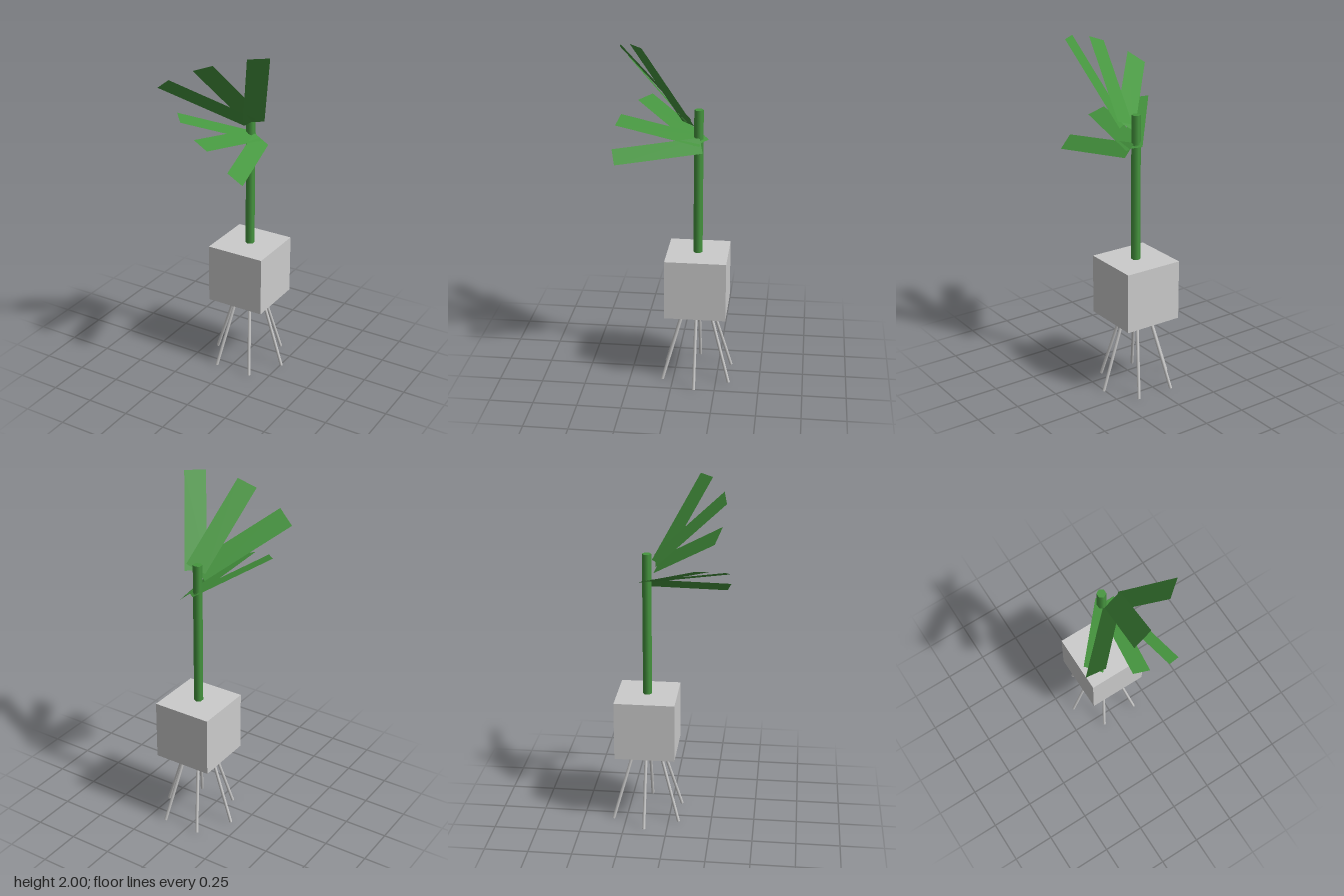
import * as THREE from 'three';

const CX = 0.036, CZ = -0.132; // shared vertical axis of stem, pot and legs

const grey = new THREE.MeshStandardMaterial({ color: 0xcccccc });
const green = new THREE.MeshStandardMaterial({ color: 0x46963f });
const leafGreen = new THREE.MeshStandardMaterial({ color: 0x46963f, side: THREE.DoubleSide });

function add(parent, name, geometry, material) {
  const mesh = new THREE.Mesh(geometry, material);
  mesh.name = name;
  parent.add(mesh);
  return mesh;
}

// Flat rectangular leaf: centre of its base edge, vector to the tip, vector across
function leafGeometry(base, along, across) {
  const geo = new THREE.PlaneGeometry(1, 1);
  const b = new THREE.Vector3(...base), a = new THREE.Vector3(...along), w = new THREE.Vector3(...across);
  const p = geo.attributes.position;
  for (let i = 0; i < p.count; i++) {
    const v = b.clone().addScaledVector(w, p.getX(i)).addScaledVector(a, p.getY(i) + 0.5);
    p.setXYZ(i, v.x, v.y, v.z);
  }
  geo.computeVertexNormals();
  return geo;
}

export function createModel() {
  const model = new THREE.Group();
  model.name = 'pottedPlant';

  // Cubic pot
  add(model, 'pot', new THREE.BoxGeometry(0.346, 0.346, 0.346), grey).position.set(CX, 0.598, CZ);

  // Six-sided stem
  add(model, 'stem', new THREE.CylinderGeometry(0.026, 0.026, 0.845, 6), green).position.set(CX, 1.1825, CZ);

  // Six splayed legs
  const legs = new THREE.Group();
  legs.name = 'legs';
  legs.position.set(CX, 0, CZ);
  model.add(legs);
  for (let i = 0; i < 6; i++) {
    const t = i * Math.PI / 3;
    const out = new THREE.Vector3(Math.cos(t), 0, Math.sin(t));
    const foot = out.clone().multiplyScalar(0.222).setY(0.003);
    const top = out.clone().multiplyScalar(0.08).setY(0.445);
    const axis = top.clone().sub(foot);
    const leg = add(legs, 'leg', new THREE.CylinderGeometry(0.009, 0.009, axis.length(), 6), grey);
    leg.position.copy(foot).add(top).multiplyScalar(0.5);
    leg.quaternion.setFromUnitVectors(new THREE.Vector3(0, 1, 0), axis.normalize());
  }

  // Upper fan of large leaves and lower fan of smaller ones: base, along, across
  const fans = {
    upperLeaf: [
      [[0.085, 1.54, -0.078], [0.174, 0.46, 0.256], [0.093, 0, -0.075]],
      [[0.077, 1.555, -0.09], [-0.077, 0.385, 0.39], [0.11, 0.04, -0.02]],
      [[0.066, 1.535, -0.075], [-0.326, 0.27, 0.358], [0.096, 0.07, 0.035]],
    ],
    lowerLeaf: [
      [[0.068, 1.427, -0.15], [-0.29, 0.168, 0.347], [0.07, -0.02, 0.075]],
      [[0.059, 1.435, -0.151], [-0.066, 0.085, 0.471], [0.094, -0.038, 0.02]],
      [[0.092, 1.419, -0.15], [0.112, -0.047, 0.468], [0.078, -0.065, -0.025]],
    ],
  };
  for (const [name, leaves] of Object.entries(fans))
    for (const leaf of leaves) add(model, name, leafGeometry(...leaf), leafGreen);

  return model;
}
